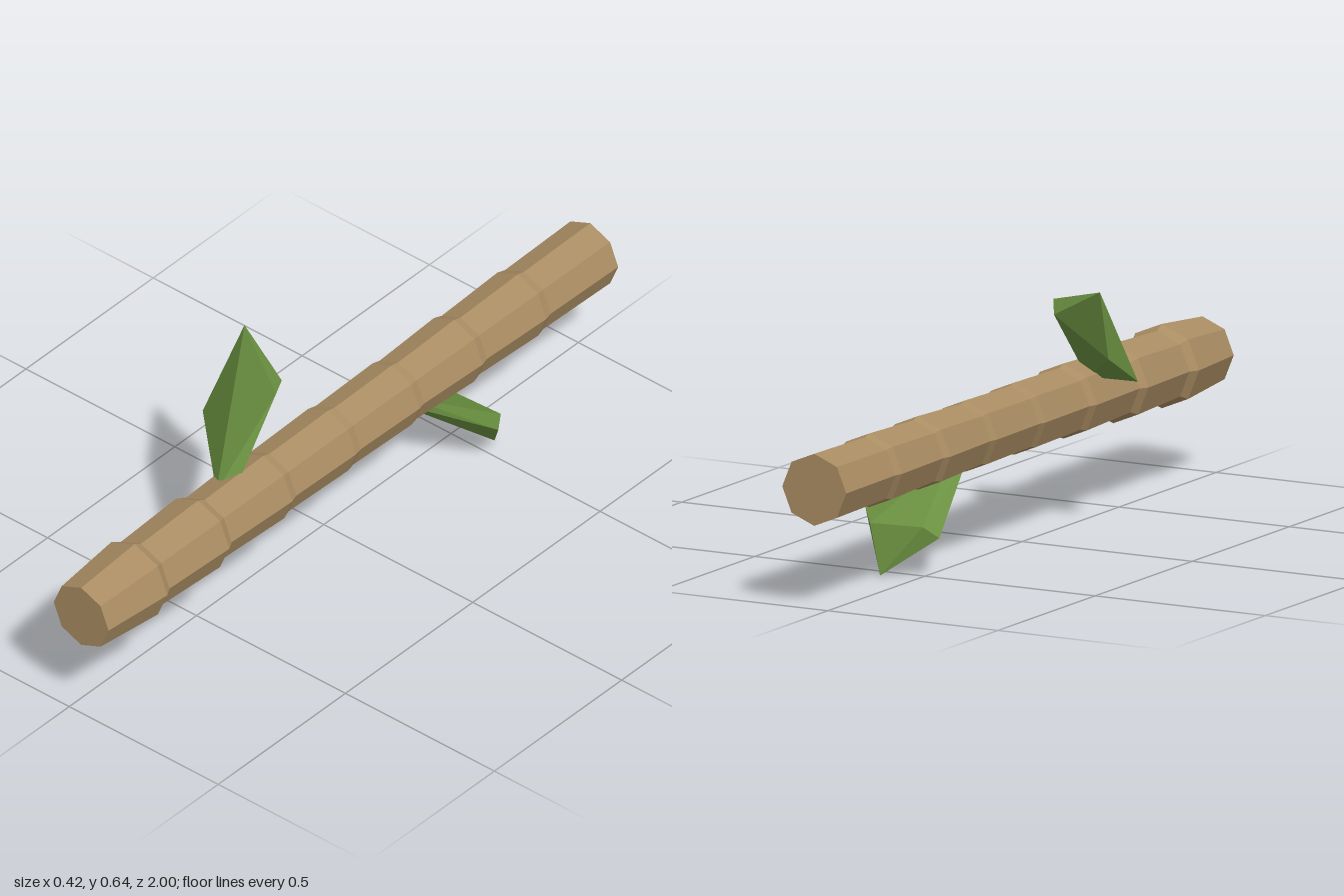
import * as THREE from 'three';
import { ConvexGeometry } from 'three/addons/geometries/ConvexGeometry.js';

const wood = new THREE.MeshStandardMaterial({ color: 0xa98c62, flatShading: true });
const green = new THREE.MeshStandardMaterial({ color: 0x6a9040, flatShading: true });

// Eight-sided stalk: every section flares towards the back and ends in a small step
function makeStalk() {
  const sections = [ // back end z, radius at front, radius at back
    [0.79, 0.092, 0.11], [0.54, 0.096, 0.104], [0.285, 0.091, 0.098], [0.03, 0.09, 0.094],
    [-0.22, 0.089, 0.093], [-0.465, 0.088, 0.096], [-0.715, 0.089, 0.096], [-1, 0.09, 0.094],
  ];
  const profile = [new THREE.Vector2(0, 1)];
  let z = 1;
  for (const [end, front, back] of sections) {
    profile.push(new THREE.Vector2(front, z), new THREE.Vector2(back, end));
    z = end - 0.025;
  }
  profile.push(new THREE.Vector2(0, -1));
  const geometry = new THREE.LatheGeometry(profile.reverse(), 8);
  geometry.rotateX(Math.PI / 2);
  const stalk = new THREE.Mesh(geometry, wood);
  stalk.name = 'stalk';
  stalk.position.set(0.04, 0.314, 0);
  return stalk;
}

// Thick faceted leaf: broad front diamond with a smaller back
function makeLeaf(name, corners) {
  const points = corners.map((c) => new THREE.Vector3(...c));
  const leaf = new THREE.Mesh(new ConvexGeometry(points), green);
  leaf.name = name;
  return leaf;
}

export function createModel() {
  const model = new THREE.Group();
  model.name = 'stalkWithLeaves';
  model.add(makeStalk());
  // Corners: tip, two front sides, front base, two back sides, back base
  model.add(makeLeaf('upperLeaf', [
    [-0.155, 0.645, 0.13], [0.045, 0.588, 0.24], [-0.21, 0.4, 0.23], [0.015, 0.375, 0.44],
    [0, 0.565, 0.165], [-0.16, 0.465, 0.165], [0.043, 0.355, 0.41],
  ]));
  model.add(makeLeaf('lowerLeaf', [
    [0.103, 0.003, -0.55], [0.21, 0.155, -0.44], [-0.037, 0.104, -0.49], [0.02, 0.26, -0.25],
    [0.15, 0.13, -0.52], [0, 0.132, -0.51], [0.05, 0.27, -0.28],
  ]));
  return model;
}
